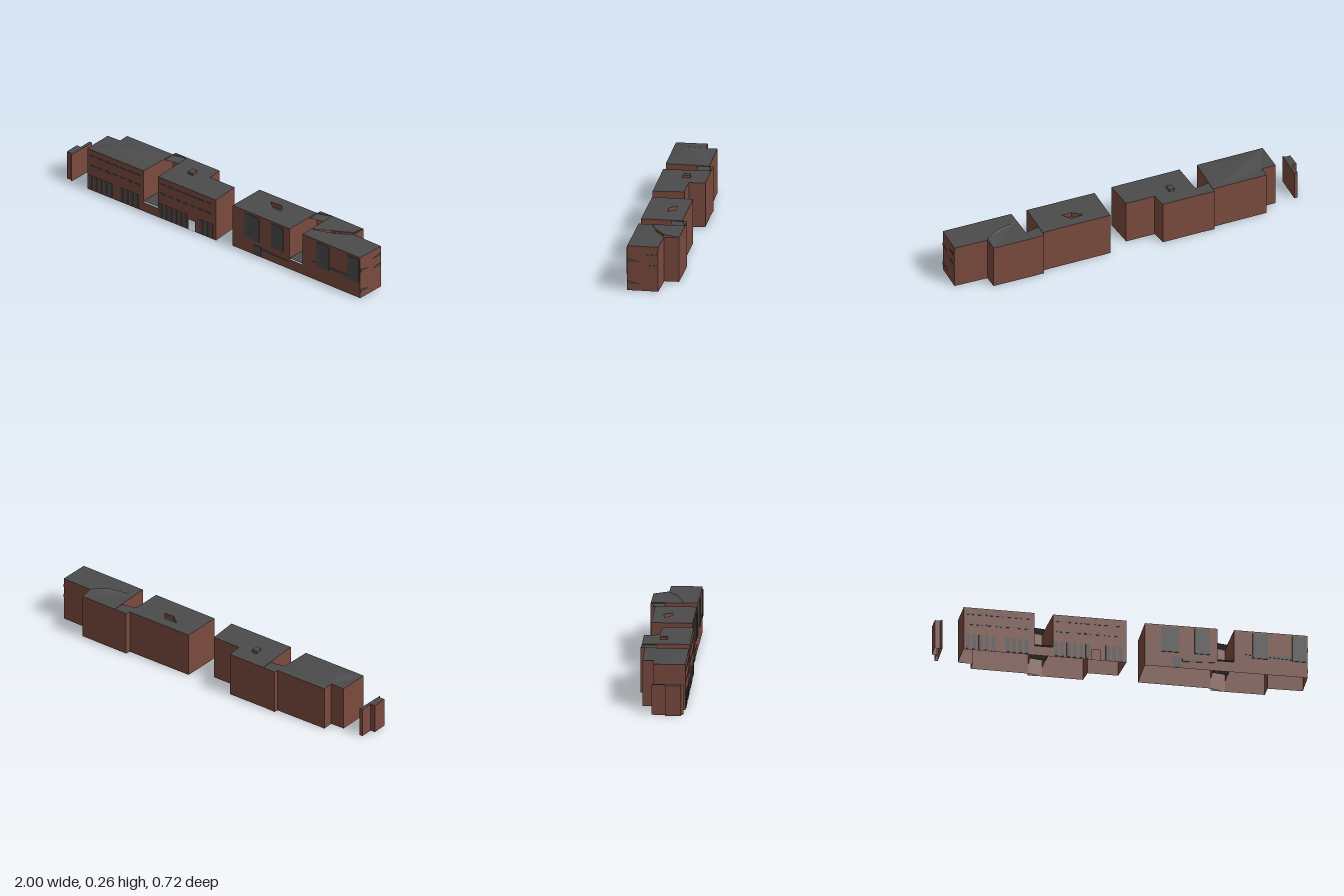
import * as THREE from 'three';

const mat = (name, color) => {
  const m = new THREE.MeshStandardMaterial({ color, side: THREE.DoubleSide });
  m.name = name;
  return m;
};
const H = 0.248; // eaves height

export function createModel() {
  const brick = mat('brick brown', 0x7a4a3e);
  const slate = mat('slate grey', 0x4b4b4b);
  const root = new THREE.Group();

  const add = (parent, name, geo, material) => {
    const m = new THREE.Mesh(geo, material);
    m.name = name;
    parent.add(m);
    return m;
  };
  const fromTriangles = (pos) => {
    const g = new THREE.BufferGeometry();
    g.setAttribute('position', new THREE.Float32BufferAttribute(pos, 3));
    g.computeVertexNormals();
    return g;
  };
  // vertical sheet following a plan polyline of [x, z]
  const wall = (parent, name, pts, y0 = 0, y1 = H, material = brick) => {
    const pos = [];
    for (let i = 0; i + 1 < pts.length; i++) {
      const [a, b] = [pts[i], pts[i + 1]];
      pos.push(a[0], y0, a[1], b[0], y0, b[1], b[0], y1, b[1]);
      pos.push(a[0], y0, a[1], b[0], y1, b[1], a[0], y1, a[1]);
    }
    return add(parent, name, fromTriangles(pos), material);
  };
  // roof sheet over a plan outline of [x, z, optional height]
  const roof = (parent, name, pts, y = H, hole = []) => {
    const v = (p) => new THREE.Vector2(p[0], -p[1]);
    const outline = pts.map(v), inner = hole.map(v);
    const all = [...pts, ...hole], pos = [];
    for (const t of THREE.ShapeUtils.triangulateShape(outline, inner.length ? [inner] : [])) {
      const [a, b, c] = t.map((i) => all[i]);
      const up = (b[1] - a[1]) * (c[0] - a[0]) - (b[0] - a[0]) * (c[1] - a[1]) > 0;
      for (const p of up ? [a, b, c] : [a, c, b]) pos.push(p[0], p[2] ?? y, p[1]);
    }
    return add(parent, name, fromTriangles(pos), slate);
  };
  // group whose local x runs along a wall and local z points outward
  const frame = (parent, name, p, q) => {
    const g = new THREE.Group();
    g.name = name;
    g.position.set(p[0], 0, p[1]);
    g.rotation.y = -Math.atan2(q[1] - p[1], q[0] - p[0]);
    parent.add(g);
    return g;
  };
  const plate = (g, name, u0, u1, y0, y1, t = 0.006) => {
    const m = add(g, name, new THREE.BoxGeometry(u1 - u0, y1 - y0, t), slate);
    m.position.set((u0 + u1) / 2, (y0 + y1) / 2, 0);
  };
  const wedge = (g, name, pts) => {
    const s = new THREE.Shape(pts.map((p) => new THREE.Vector2(...p)));
    const m = add(g, name, new THREE.ExtrudeGeometry(s, { depth: 0.006, bevelEnabled: false }), slate);
    m.position.z = -0.003;
  };
  // front wall with a tall slot between u1 and u2 and an optional doorway
  const facade = (g, L, u1, u2, sill, door) => {
    const s = new THREE.Shape([[0, 0], [L, 0], [L, H], [u2, H], [u2, sill], [u1, sill], [u1, H], [0, H]]
      .map((p) => new THREE.Vector2(...p)));
    if (door) {
      const [a, b, h] = door;
      s.holes.push(new THREE.Path([[a, 0.002], [a, h], [b, h], [b, 0.002]].map((p) => new THREE.Vector2(...p))));
    }
    add(g, 'frontWall', new THREE.ShapeGeometry(s), brick);
  };
  const lerp = (a, b, t) => [a[0] + (b[0] - a[0]) * t, a[1] + (b[1] - a[1]) * t];
  // recessed slot: side walls, back wall, low canopy, roof at the rear
  const slot = (parent, fl, bl, br, fr, sill) => {
    wall(parent, 'slotSideWalls', [fl, bl], sill);
    wall(parent, 'slotSideWalls', [fr, br], sill);
    wall(parent, 'slotBackWall', [bl, br]);
    roof(parent, 'slotCanopy', [fl, lerp(fl, bl, 0.75), lerp(fr, br, 0.75), fr], sill + 0.008);
    roof(parent, 'slotRearRoof', [lerp(fl, bl, 0.72), bl, br, lerp(fr, br, 0.72)], H - 0.004);
  };

  // ---------- west building ----------
  const west = new THREE.Group();
  west.name = 'westBuilding';
  root.add(west);
  {
    const fl = [-0.857, -0.163], fr = [-0.007, 0.083];
    const s1 = [-0.487, -0.056], s2 = [-0.39, -0.028], b1 = [-0.41, -0.28], b2 = [-0.327, -0.277];
    const u = (x) => (x - fl[0]) / 0.96;
    const g = frame(west, 'westFacade', fl, fr);
    facade(g, 0.885, u(s1[0]), u(s2[0]), 0.055, [u(-0.19), u(-0.145), 0.062]);
    // ground floor windows, then slim upper windows
    for (const [a, b] of [[-0.845, -0.67], [-0.64, -0.5], [-0.385, -0.2], [-0.115, -0.015]]) {
      const n = Math.round((b - a) / 0.033);
      for (let i = 0; i < n; i++) plate(g, 'groundWindow', u(a + i * 0.033), u(a + i * 0.033 + 0.021), 0.006, 0.09);
    }
    for (const [a, b] of [[-0.84, -0.5], [-0.375, -0.02]])
      for (let x = a; x < b - 0.03; x += 0.05) {
        plate(g, 'middleWindow', u(x), u(x + 0.03), 0.147, 0.156);
        plate(g, 'upperWindow', u(x), u(x + 0.035), 0.207, 0.214);
      }
    const backA = [[-0.712, -0.366], [-0.728, -0.307], [-0.808, -0.328]];
    const backB = [[-0.114, -0.216], [-0.13, -0.13], [0.03, -0.083]];
    wall(west, 'outerWalls', [fl, backA[2], backA[1], backA[0], b1, [-0.402, -0.302], b2]);
    wall(west, 'outerWalls', [b2, ...backB, fr]);
    const apex = [-0.73, -0.21, 0.262];
    roof(west, 'roofFront', [fl, apex, s1]);
    roof(west, 'roofLeft', [fl, apex, s1, b1, ...backA]);
    roof(west, 'roofRight', [s2, fr, [0.03, -0.083], [-0.13, -0.13], [-0.114, -0.216], b2]);
    roof(west, 'slotRearRoofCorner', [b1, [-0.402, -0.302], b2]);
    slot(west, s1, b1, b2, s2, 0.055);
    // rooftop hatch
    const hatch = [[-0.255, -0.12], [-0.245, -0.158], [-0.215, -0.15], [-0.225, -0.11]];
    wall(west, 'hatchSides', [...hatch, hatch[0]], H, 0.262);
    roof(west, 'hatchTop', hatch, 0.262);
  }

  // ---------- east building ----------
  const east = new THREE.Group();
  east.name = 'eastBuilding';
  root.add(east);
  {
    const fl = [0.096, 0.1], fr = [0.943, 0.355], end = [0.996, 0.195];
    const s1 = [0.475, 0.214], s2 = [0.56, 0.24], b1 = [0.543, 0], b2 = [0.63, -0.003];
    const u = (x) => (x - fl[0]) / 0.9575;
    const g = frame(east, 'eastFacade', fl, fr);
    facade(g, 0.8846, u(s1[0]), u(s2[0]), 0.06);
    // tall bay windows
    for (const [a, b] of [[0.18, 0.275], [0.355, 0.435], [0.657, 0.735], [0.862, 0.935]])
      plate(g, 'bayWindow', u(a), u(b), 0.09, 0.235, 0.009);
    plate(g, 'entranceDoor', u(0.237), u(0.285), 0.002, 0.063);
    wedge(g, 'lowStrip', [[u(0.29), 0.038], [u(0.47), 0.046], [u(0.29), 0.055]]);
    wedge(g, 'midStrip', [[u(0.62), 0.108], [u(0.93), 0.092], [u(0.93), 0.118]]);
    // tapering end windows
    const e = frame(east, 'eastEnd', fr, end);
    for (const [a, b, y] of [[0.002, 0.065, 0.165], [0.002, 0.065, 0.042]])
      wedge(e, 'endWindow', [[a, y - 0.006], [b, y - 0.004], [a, y + 0.012]]);
    for (const y of [0.2, 0.14])
      wedge(e, 'endWindow', [[0.105, y], [0.166, y - 0.008], [0.166, y + 0.01]]);

    wall(east, 'outerWalls', [fl, [0.164, -0.11], b1, [0.554, -0.024], b2]);
    wall(east, 'outerWalls', [b2, [0.837, 0.06], [0.815, 0.137], end, fr]);
    slot(east, s1, b1, b2, s2, 0.06);
    roof(east, 'slotRearRoofCorner', [b1, [0.554, -0.024], b2]);
    // left roof with a sunken skylight
    const pit = [[0.27, -0.012], [0.34, 0], [0.362, 0.056], [0.308, 0.042]];
    roof(east, 'roofLeft', [fl, s1, b1, [0.164, -0.11]], H, pit);
    wall(east, 'skylightSides', [...pit, pit[0]], 0.22, H);
    roof(east, 'skylightFloor', pit, 0.222);
    // right roof, stepped along a low ridge
    const r0 = [0.58, 0.17], r1 = [0.72, 0.165], r2 = [0.815, 0.137];
    roof(east, 'roofFront', [s2, fr, end, r2, r1, r0]);
    roof(east, 'roofRear', [r0, [...r1, 0.262], [...r2, 0.26], [0.837, 0.06], b2]);
    wall(east, 'ridgeStep', [r1, r2], H, 0.26);
  }

  // ---------- small detached wall block ----------
  const block = new THREE.Group();
  block.name = 'detachedBlock';
  root.add(block);
  const plan = [[-1, -0.222], [-0.977, -0.303], [-0.95, -0.296], [-0.93, -0.366], [-0.912, -0.36], [-0.965, -0.2], [-0.974, -0.215]];
  wall(block, 'blockWalls', [...plan, plan[0]], 0, 0.165);
  roof(block, 'blockTop', plan, 0.165);
  return root;
}
